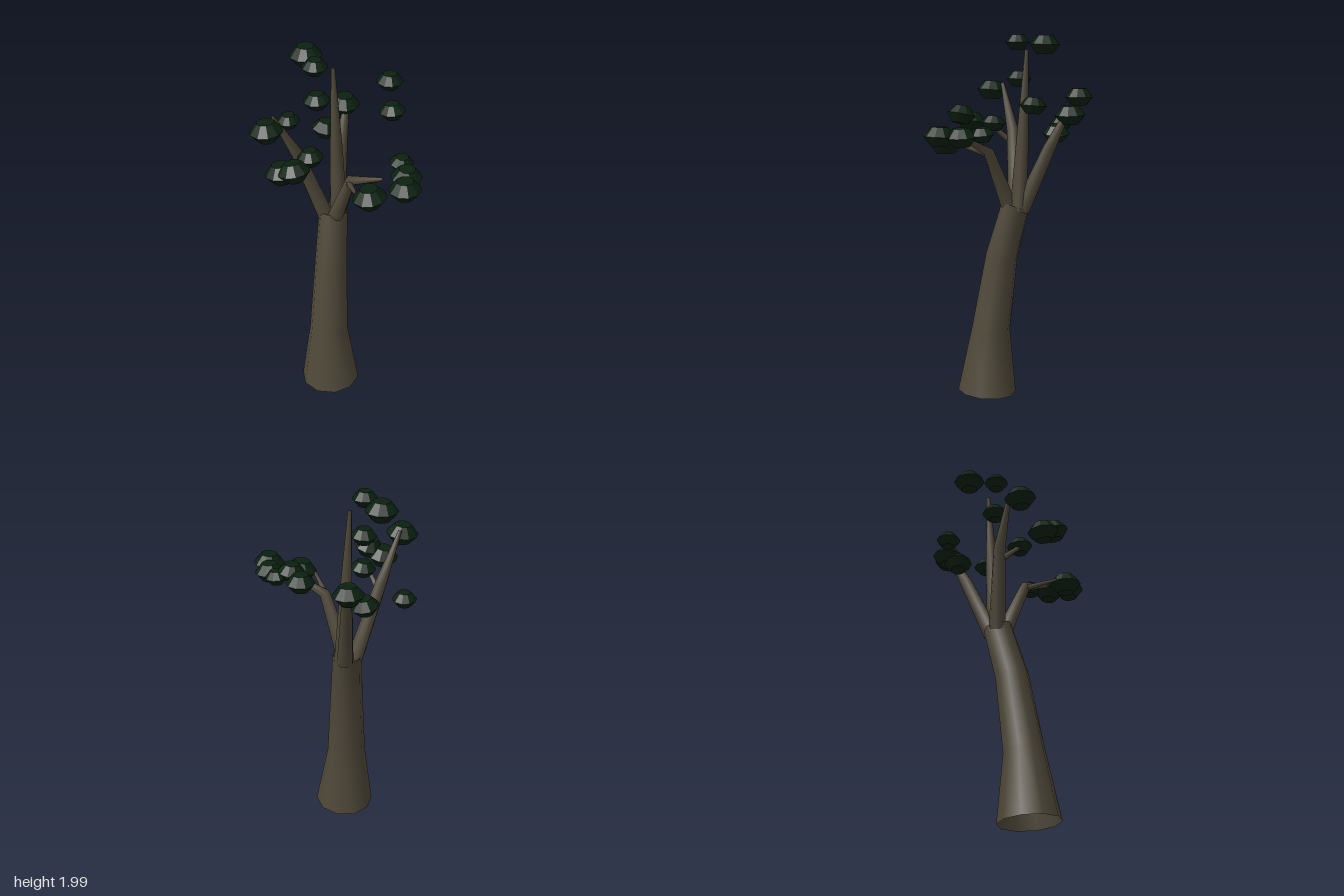
import * as THREE from 'three';

const bark = new THREE.MeshStandardMaterial({ color: 0x4f4839, side: THREE.DoubleSide });
bark.name = 'bark';
const foliage = new THREE.MeshStandardMaterial({ color: 0x0b2010, flatShading: true });
foliage.name = 'foliage';

// Smooth tapering limb: rings set square to a path of [x, y, z, radius] points
function limb(name, path, sides, closeTip) {
  const pts = path.map(([x, y, z]) => new THREE.Vector3(x, y, z));
  const positions = [];
  const index = [];
  pts.forEach((p, i) => {
    const t = pts[Math.min(i + 1, pts.length - 1)].clone().sub(pts[Math.max(i - 1, 0)]).normalize();
    const u = new THREE.Vector3(1, 0, 0).addScaledVector(t, -t.x).normalize();
    const v = t.clone().cross(u);
    for (let k = 0; k < sides; k++) {
      const a = (k / sides) * Math.PI * 2;
      const q = p.clone()
        .addScaledVector(u, Math.cos(a) * path[i][3])
        .addScaledVector(v, Math.sin(a) * path[i][3]);
      positions.push(q.x, q.y, q.z);
      if (i > 0) {
        const b = (i - 1) * sides + k;
        const c = (i - 1) * sides + ((k + 1) % sides);
        index.push(b, c, b + sides, c, c + sides, b + sides);
      }
    }
  });
  if (closeTip) {
    const last = (pts.length - 1) * sides;
    const tip = pts[pts.length - 1];
    positions.push(tip.x, tip.y, tip.z);
    for (let k = 0; k < sides; k++) index.push(last + k, last + ((k + 1) % sides), last + sides);
  }
  const geo = new THREE.BufferGeometry();
  geo.setAttribute('position', new THREE.Float32BufferAttribute(positions, 3));
  geo.setIndex(index);
  geo.computeVertexNormals();
  const mesh = new THREE.Mesh(geo, bark);
  mesh.name = name;
  return mesh;
}

export function createModel() {
  const tree = new THREE.Group();
  tree.name = 'tree';

  // Leaning trunk, open at the foot
  tree.add(limb('trunk', [
    [-0.005, 0.015, 0.17, 0.163],
    [-0.025, 0.38, 0.157, 0.107],
    [-0.057, 0.8, 0.102, 0.088],
    [-0.1, 1.09, 0.035, 0.077],
  ], 10, false));

  // Main branches
  tree.add(limb('centreBranch', [
    [-0.09, 1.06, 0.005, 0.045],
    [-0.112, 1.45, -0.005, 0.033],
    [-0.135, 1.92, -0.01, 0.01],
  ], 8, true));
  tree.add(limb('leftBranch', [
    [-0.075, 1.06, 0.05, 0.045],
    [0.065, 1.385, 0.07, 0.029],
    [0.25, 1.465, 0.04, 0.01],
  ], 8, true));
  tree.add(limb('frontBranch', [
    [-0.13, 1.06, 0.065, 0.045],
    [-0.21, 1.48, 0.185, 0.032],
    [-0.243, 1.73, 0.305, 0.01],
  ], 8, true));
  tree.add(limb('backBranch', [
    [-0.11, 1.06, 0, 0.045],
    [-0.195, 1.4, -0.125, 0.033],
    [-0.245, 1.61, -0.22, 0.014],
  ], 8, true));

  // Thin twigs
  tree.add(limb('leftTwig', [
    [0.06, 1.37, 0.08, 0.018],
    [0.2, 1.43, 0.18, 0.008],
  ], 6, true));
  tree.add(limb('frontTwig', [
    [-0.19, 1.42, 0.19, 0.018],
    [-0.075, 1.53, 0.245, 0.008],
  ], 6, true));

  // Leaf clumps: flattened ten-sided pads [x, y, z, radius, tiltX, tiltZ]
  const pad = new THREE.LatheGeometry([
    new THREE.Vector2(0, -0.59),
    new THREE.Vector2(0.52, -0.59),
    new THREE.Vector2(1, 0),
    new THREE.Vector2(0.52, 0.59),
    new THREE.Vector2(0, 0.59),
  ], 10, Math.PI / 2);
  const clumps = [
    [-0.12, 1.69, -0.415, 0.072, 0, 0],
    [0.045, 1.645, -0.255, 0.07, 0, 0.1],
    [-0.26, 1.58, -0.215, 0.083, 0, -0.05],
    [-0.28, 1.475, -0.09, 0.075, -0.15, -0.1],
    [-0.435, 1.507, 0.03, 0.063, 0, 0],
    [-0.297, 1.945, 0.02, 0.084, 0, 0.03],
    [-0.16, 1.958, 0.09, 0.066, 0, 0],
    [-0.162, 1.763, 0.08, 0.069, 0, 0.05],
    [-0.087, 1.52, 0.205, 0.069, 0, 0.1],
    [-0.22, 1.69, 0.37, 0.085, 0, 0.1],
    [-0.09, 1.52, 0.4, 0.083, 0, 0.15],
    [-0.01, 1.56, 0.388, 0.082, 0, 0.25],
    [0.253, 1.5, -0.1, 0.062, 0, -0.1],
    [0.34, 1.487, -0.04, 0.08, 0, -0.05],
    [0.41, 1.49, 0.05, 0.083, 0, 0.05],
    [0.28, 1.435, 0.162, 0.088, 0.05, 0.1],
  ];
  const leaves = new THREE.Group();
  leaves.name = 'leaves';
  clumps.forEach(([x, y, z, r, tx, tz]) => {
    const clump = new THREE.Mesh(pad, foliage);
    clump.name = 'leafClump';
    clump.position.set(x, y, z);
    clump.rotation.set(tx, 0, tz);
    clump.scale.setScalar(r);
    leaves.add(clump);
  });
  tree.add(leaves);
  return tree;
}
